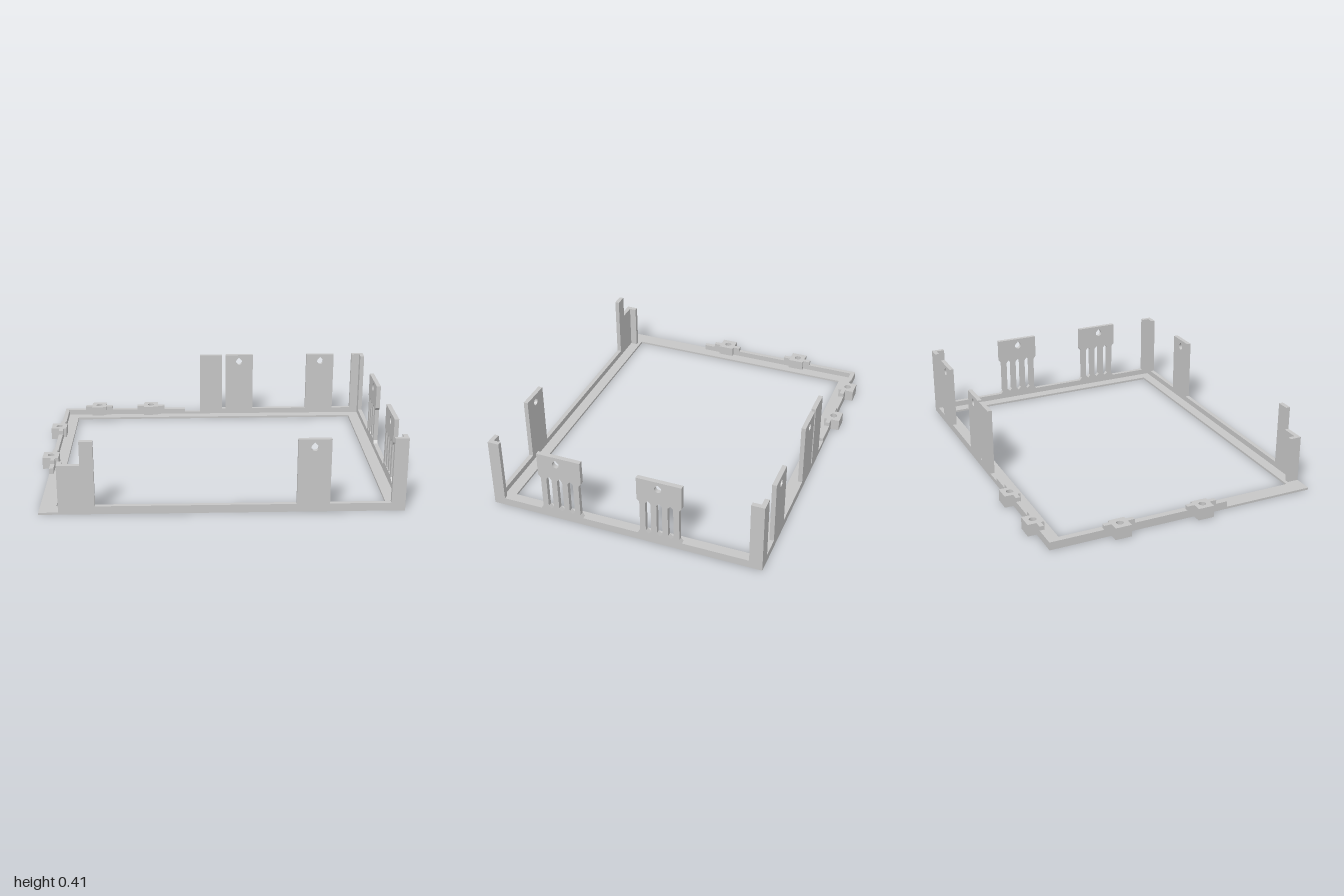
import * as THREE from 'three';

const T = 0.025;          // wall thickness
const BASE = 0.012;       // base plate thickness
const LIP = 0.045;        // top of the low rim
const CLIP = 0.068;       // top of the clips
const STEP = 0.278;       // lower top of the stepped post
const TOP = 0.411;        // top of the tall tabs
const X0 = -0.95, X1 = 1, Z0 = -0.755, Z1 = 0.8;

export function createModel() {
  const group = new THREE.Group();
  const grey = new THREE.MeshStandardMaterial({ color: 0xc6c6c6 });
  grey.name = 'grey plastic';

  const add = (name, geometry) => {
    const mesh = new THREE.Mesh(geometry, grey);
    mesh.name = name;
    group.add(mesh);
  };
  const box = (name, x0, x1, y0, y1, z0, z1) =>
    add(name, new THREE.BoxGeometry(x1 - x0, y1 - y0, z1 - z0)
      .translate((x0 + x1) / 2, (y0 + y1) / 2, (z0 + z1) / 2));
  // closed outline, always wound counterclockwise so holes face the right way
  const poly = (pts) => {
    const v = pts.map(([x, y]) => new THREE.Vector2(x, y));
    return new THREE.Shape(THREE.ShapeUtils.isClockWise(v) ? v.reverse() : v);
  };
  const extrude = (shape, depth) =>
    new THREE.ExtrudeGeometry(shape, { depth, bevelEnabled: false, curveSegments: 16 });
  // plan outline given as [x, z], raised from y0 to y1
  const plan = (pts) => poly(pts.map(([x, z]) => [x, -z]));
  const raise = (name, shape, y0, y1) =>
    add(name, extrude(shape, y1 - y0).rotateX(-Math.PI / 2).translate(0, y0, 0));

  // Clip positions along the back (x) and left (z) sides
  const backClips = [-0.73, -0.39], leftClips = [-0.365, 0.12];
  const H = 0.046;

  // Base ring, notched where the clips sit
  const outline = [[X0, Z0]];
  for (const c of backClips)
    outline.push([c - H, Z0], [c - H, -0.712], [c + H, -0.712], [c + H, Z0]);
  outline.push([X1, Z0], [X1, Z1], [X0, Z1]);
  for (const c of [...leftClips].reverse())
    outline.push([X0, c + H], [-0.907, c + H], [-0.907, c - H], [X0, c - H]);
  const ring = plan(outline);
  ring.holes.push(plan([[-0.862, -0.67], [0.91, -0.67], [0.91, 0.715], [-0.862, 0.715]]));
  raise('baseRing', ring, 0, BASE);

  // Low rim, dipping beside the back tabs
  box('frontRim', -0.845, X1, BASE, LIP, Z1 - T, Z1);
  box('rightRim', X1 - T, X1, BASE, LIP, Z0 + T, Z1 - T);
  const segments = (from, to, clips) => {
    const list = [];
    let a = from;
    for (const c of clips) { list.push([a, c - H]); a = c + H; }
    return [...list, [a, to]];
  };
  for (const [a, b] of segments(X0, -0.165, backClips)) box('backRim', a, b, BASE, LIP, Z0, Z0 + T);
  box('backRimDip', -0.165, -0.065, BASE, 0.025, Z0, Z0 + T);
  box('backRim', -0.065, X1, BASE, LIP, Z0, Z0 + T);
  for (const [a, b] of segments(Z0 + T, 0.275, leftClips)) box('leftRim', X0, X0 + T, BASE, LIP, a, b);

  // Screw clips: small hole above a wider hexagonal nut pocket
  const clip = (name, x, z) => {
    for (const [y0, y1, r, n] of [[0, 0.03, 0.032, 6], [0.03, CLIP, 0.02, 16]]) {
      const s = plan([[x - H, z - H], [x + H, z - H], [x + H, z + H], [x - H, z + H]]);
      s.holes.push(plan(Array.from({ length: n }, (_, i) => {
        const a = i / n * Math.PI * 2;
        return [x + r * Math.cos(a), z + r * Math.sin(a)];
      })));
      raise(name, s, y0, y1);
    }
  };
  for (const c of backClips) {
    clip('backClip', c, -0.758);
    for (const [a, b] of [[c - 0.088, c - H], [c + H, c + 0.088]])
      box('backClipShoulder', a, b, LIP, CLIP, Z0, Z0 + T);
  }
  for (const c of leftClips) {
    clip('leftClip', -0.953, c);
    for (const [a, b] of [[c - 0.087, c - H], [c + H, c + 0.087]])
      box('leftClipShoulder', X0, X0 + T, LIP, CLIP, a, b);
  }

  // Teardrop screw hole near the top of a tab
  const screwHole = (u) => {
    const p = new THREE.Path();
    const r = 0.02, a = Math.PI / 4;
    p.absarc(u, 0.365, r, Math.PI - a, Math.PI * 2 + a, false);
    p.lineTo(u, 0.365 + r * Math.SQRT2);
    p.closePath();
    return p;
  };

  // Plain tabs on the front and back walls
  const tab = (name, a, b, z, hole) => {
    const s = poly([[a, LIP], [b, LIP], [b, TOP], [a, TOP]]);
    if (hole !== undefined) s.holes.push(screwHole(hole));
    add(name, extrude(s, T).translate(0, 0, z));
  };
  tab('frontTab', 0.42, 0.597, Z1 - T, 0.507);
  tab('backTab', -0.065, 0.08, Z0);
  tab('backTab', 0.102, 0.28, Z0, 0.19);
  tab('backTab', 0.63, 0.808, Z0, 0.72);

  // Slotted spring tabs on the right wall
  const slottedTab = (zc, zHole) => {
    const u = -zc;
    const half = [[0.125, LIP], [0.111, 0.062], [0.111, 0.257], [0.126, 0.275], [0.126, TOP]];
    const s = poly([...half.map(([d, y]) => [u + d, y]),
      ...[...half].reverse().map(([d, y]) => [u - d, y])]);
    for (const d of [-0.063, 0, 0.063]) {
      const c = u + d, w = 0.0155;
      s.holes.push(poly([[c, 0.056], [c + w, 0.072], [c + w, 0.257],
        [c, 0.273], [c - w, 0.257], [c - w, 0.072]]));
    }
    s.holes.push(screwHole(-zHole));
    add('slottedTab', extrude(s, T).rotateY(Math.PI / 2).translate(X1 - T, 0, 0));
  };
  slottedTab(0.384, 0.4);
  slottedTab(-0.187, -0.182);

  // L-shaped corner posts on the right
  raise('frontRightPost', plan([[X1, Z1], [0.925, Z1], [0.925, Z1 - T],
    [X1 - T, Z1 - T], [X1 - T, 0.735], [X1, 0.735]]), LIP, TOP);
  raise('backRightPost', plan([[X1, Z0], [0.925, Z0], [0.925, Z0 + T],
    [X1 - T, Z0 + T], [X1 - T, -0.682], [X1, -0.682]]), LIP, TOP);

  // Stepped front left post with a return wall
  add('frontLeftPost', extrude(poly([[-0.845, LIP], [-0.65, LIP], [-0.65, TOP],
    [-0.722, TOP], [-0.722, STEP], [-0.845, STEP]]), T).translate(0, 0, Z1 - T));
  box('frontLeftReturn', -0.845, -0.82, BASE, STEP, 0.735, Z1 - T);

  return group;
}
